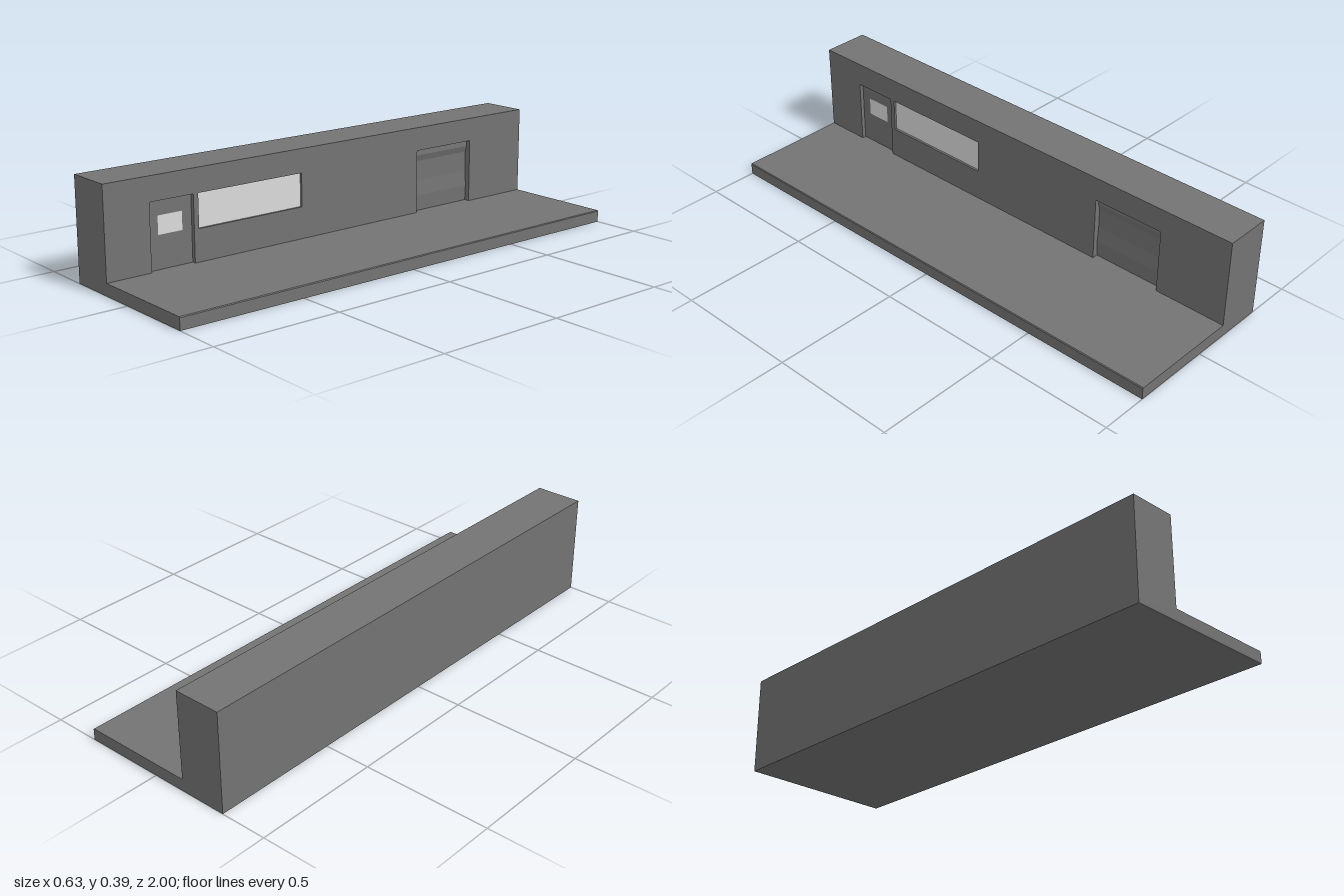
import * as THREE from 'three';

const BACK = -0.317, FACE = -0.131, EDGE = 0.315, TOP = 0.393, FLOOR = 0.047;

// openings in the wall: z range, y range, depth
const DOOR = { z0: 0.64, z1: 0.82, y0: FLOOR, y1: 0.3, d: 0.016 };
const WINDOW = { z0: 0.16, z1: 0.62, y0: 0.17, y1: 0.3, d: 0.009 };
const GATE = { z0: -0.71, z1: -0.42, y0: FLOOR, y1: 0.3, d: 0.026 };

// flat-shaded geometry from counter-clockwise quads
function quads(list) {
  const pos = [];
  for (const [a, b, c, d] of list) pos.push(...a, ...b, ...c, ...a, ...c, ...d);
  const g = new THREE.BufferGeometry();
  g.setAttribute('position', new THREE.Float32BufferAttribute(pos, 3));
  g.computeVertexNormals();
  return g;
}

// sweep an (x, y) profile along z; faces look to the right of its direction
function sweep(profile, z0, z1) {
  const list = [];
  for (let i = 0; i + 1 < profile.length; i++) {
    const p = profile[i], q = profile[i + 1];
    list.push([[...p, z0], [...q, z0], [...q, z1], [...p, z1]]);
  }
  return quads(list);
}

// inward-facing sides of an opening
function reveal({ z0, z1, y0, y1, d }) {
  const ring = [[y0, z1], [y0, z0], [y1, z0], [y1, z1]];
  return quads(ring.map((p, i) => {
    const q = ring[(i + 1) % 4], b = FACE - d;
    return [[b, ...p], [FACE, ...p], [FACE, ...q], [b, ...q]];
  }));
}

export function createModel() {
  const group = new THREE.Group();
  const concrete = new THREE.MeshStandardMaterial({ color: 0x737373, side: THREE.DoubleSide });
  concrete.name = 'concrete grey';
  const glass = new THREE.MeshStandardMaterial({ color: 0xdadada, side: THREE.DoubleSide });
  glass.name = 'glass light grey';

  const add = (name, geometry, material = concrete) => {
    const mesh = new THREE.Mesh(geometry, material);
    mesh.name = name;
    group.add(mesh);
    return mesh;
  };

  // L-shaped body: wall and floor slab, open where the facade goes
  const outline = [
    [FACE, TOP], [BACK, TOP], [BACK, 0], [EDGE, 0],
    [EDGE, FLOOR - 0.003], [EDGE - 0.003, FLOOR], [FACE, FLOOR],
  ];
  add('wallAndFloor', sweep(outline, -1, 1));
  const endShape = new THREE.Shape(outline.map(([x, y]) => new THREE.Vector2(x, y)));
  add('frontEnd', new THREE.ShapeGeometry(endShape).translate(0, 0, 1));
  const mirrored = new THREE.Shape(outline.map(([x, y]) => new THREE.Vector2(-x, y)));
  add('backEnd', new THREE.ShapeGeometry(mirrored).rotateY(Math.PI).translate(0, 0, -1));

  // facade drawn with u = -z: notches for door and gate, hole for window
  const facade = new THREE.Shape();
  facade.moveTo(-1, FLOOR);
  for (const o of [DOOR, GATE]) {
    facade.lineTo(-o.z1, FLOOR);
    facade.lineTo(-o.z1, o.y1);
    facade.lineTo(-o.z0, o.y1);
    facade.lineTo(-o.z0, FLOOR);
  }
  facade.lineTo(1, FLOOR);
  facade.lineTo(1, TOP);
  facade.lineTo(-1, TOP);
  const hole = new THREE.Path();
  hole.moveTo(-WINDOW.z1, WINDOW.y0);
  hole.lineTo(-WINDOW.z1, WINDOW.y1);
  hole.lineTo(-WINDOW.z0, WINDOW.y1);
  hole.lineTo(-WINDOW.z0, WINDOW.y0);
  facade.holes.push(hole);
  add('facade', new THREE.ShapeGeometry(facade).rotateY(Math.PI / 2).translate(FACE, 0, 0));

  // sides of the openings
  add('doorFrame', reveal(DOOR));
  add('windowFrame', reveal(WINDOW));
  add('gateFrame', reveal(GATE));

  // flat panels set back in the openings
  const panel = ({ z0, z1, y0, y1, d }) => sweep([[FACE - d, y0], [FACE - d, y1]], z0, z1);
  add('door', panel(DOOR));
  add('doorPane', panel({ z0: 0.68, z1: 0.78, y0: 0.173, y1: 0.243, d: DOOR.d - 0.001 }), glass);
  add('windowPane', panel(WINDOW), glass);

  // slightly bulging roller gate
  const bulge = [[0.023, FLOOR], [0.02, 0.11], [0.025, 0.17], [0.025, 0.25], [0.017, 0.275], [0.019, 0.3]];
  add('rollerGate', sweep(bulge.map(([d, y]) => [FACE - d, y]), GATE.z0, GATE.z1));

  return group;
}
